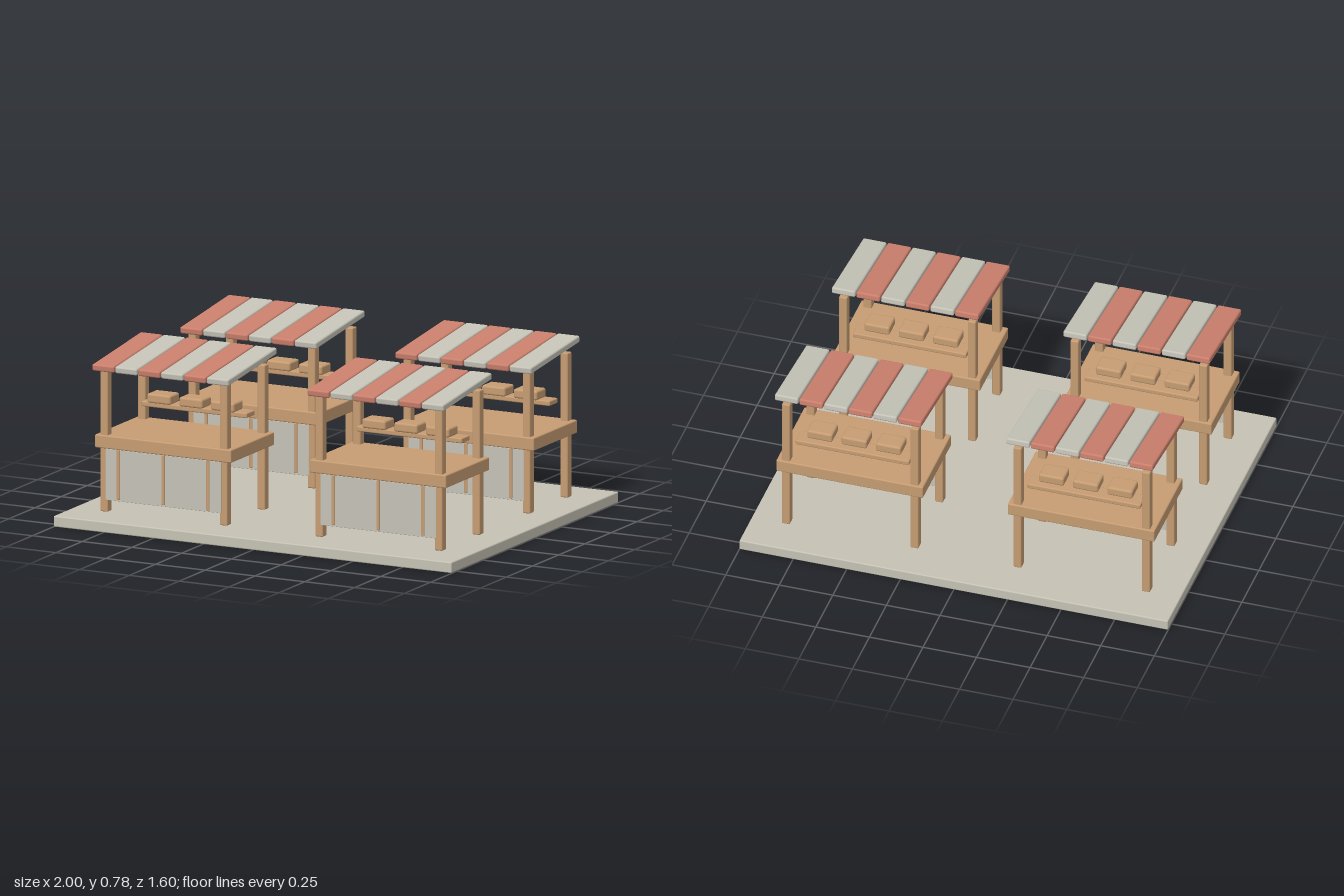
import * as THREE from 'three';
import { RoundedBoxGeometry } from 'three/addons/geometries/RoundedBoxGeometry.js';

const paint = (name, color) => {
  const m = new THREE.MeshStandardMaterial({ color });
  m.name = name;
  return m;
};

export function createModel() {
  const wood = paint('wood', 0xc69c72);
  const red = paint('redCloth', 0xcb7f6c);
  const pale = paint('paleCloth', 0xc5c3b7);
  const stone = paint('stone', 0xc5c2b4);

  // Box with softened edges, placed by its centre
  const block = (parent, name, mat, [w, h, d], [x, y, z], radius = 0.006) => {
    const r = Math.min(radius, Math.min(w, h, d) * 0.4);
    const mesh = new THREE.Mesh(new RoundedBoxGeometry(w, h, d, 2, r), mat);
    mesh.name = name;
    mesh.position.set(x, y, z);
    parent.add(mesh);
    return mesh;
  };

  const makeStall = () => {
    const stall = new THREE.Group();
    stall.name = 'stall';

    // Counter and corner posts
    block(stall, 'counter', wood, [0.685, 0.06, 0.418], [0, 0.37, 0]);
    for (const x of [-0.3, 0.3])
      for (const z of [-0.18, 0.18])
        block(stall, 'post', wood, [0.038, 0.66, 0.042], [x, 0.38, z]);

    // Front cloth with three battens
    block(stall, 'frontPanel', pale, [0.58, 0.235, 0.008], [0, 0.223, 0.2], 0.002);
    for (const x of [-0.225, 0, 0.225])
      block(stall, 'batten', wood, [0.016, 0.228, 0.012], [x, 0.227, 0.203], 0.003);

    // Back shelf with goods
    block(stall, 'shelf', wood, [0.53, 0.024, 0.08], [0, 0.488, -0.13]);
    for (const x of [-0.16, 0, 0.16])
      block(stall, 'goodsBox', wood, [0.118, 0.043, 0.092], [x, 0.525, -0.1], 0.01);

    // Striped awning sloping down to the front
    const awning = new THREE.Group();
    awning.name = 'awning';
    awning.position.y = 0.737;
    awning.rotation.x = 0.116;
    for (let i = 0; i < 6; i++)
      block(awning, 'awningStripe', i % 2 ? pale : red,
        [0.11, 0.031, 0.472], [(i - 2.5) * 0.115, 0, 0], 0.008);
    stall.add(awning);
    return stall;
  };

  const model = new THREE.Group();
  model.name = 'marketStalls';
  block(model, 'ground', stone, [2, 0.05, 1.6], [0, 0.025, 0]);

  // Two rows of two stalls, all facing the front
  for (const x of [-0.54, 0.54])
    for (const z of [-0.42, 0.42]) {
      const stall = makeStall();
      stall.position.set(x, 0, z);
      model.add(stall);
    }
  return model;
}
